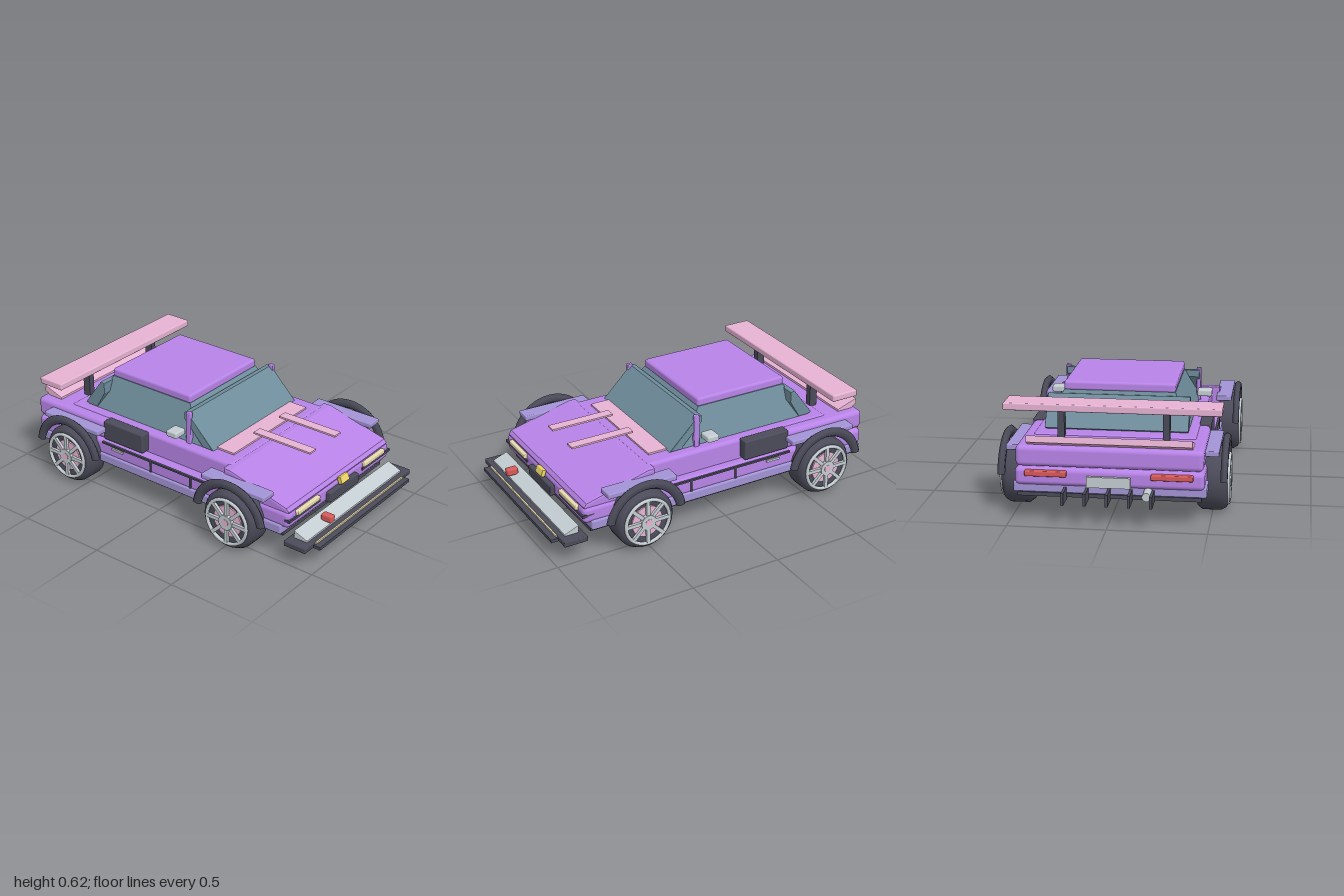
import * as THREE from 'three';
import { RoundedBoxGeometry } from 'three/addons/geometries/RoundedBoxGeometry.js';

const COLORS = {
  purple: 0xb884e8, lavender: 0xa394d6, pink: 0xe6b3d3, glass: 0x6f8d9c, dark: 0x4b4b5a,
  silver: 0xc4cdd2, cream: 0xe8dcae, red: 0xd95a5a, yellow: 0xf0d96a,
};
const materials = {};
for (const key in COLORS) materials[key] = new THREE.MeshStandardMaterial({ color: COLORS[key] });

export function createModel() {
  const car = new THREE.Group();
  car.name = 'car';

  function add(name, geometry, color, parent = car) {
    const mesh = new THREE.Mesh(geometry, materials[color]);
    mesh.name = name;
    parent.add(mesh);
    return mesh;
  }
  // box given by its ranges; r rounds the edges
  function box(name, color, [x0, x1], [y0, y1], [z0, z1], r = 0) {
    const size = [x1 - x0, y1 - y0, z1 - z0];
    const g = r ? new RoundedBoxGeometry(...size, 3, r) : new THREE.BoxGeometry(...size);
    g.translate((x0 + x1) / 2, (y0 + y1) / 2, (z0 + z1) / 2);
    return add(name, g, color);
  }
  // the same box on both sides
  function pair(name, color, [x0, x1], y, z, r) {
    box(name + 'Left', color, [x0, x1], y, z, r);
    box(name + 'Right', color, [-x1, -x0], y, z, r);
  }
  // side profile of [z, y] points, extruded across the car
  function prism(name, color, profile, width, bevel = 0.004) {
    const shape = new THREE.Shape(profile.map(([z, y]) => new THREE.Vector2(z, y)));
    const depth = width - 2 * bevel;
    const g = new THREE.ExtrudeGeometry(shape, {
      depth, bevelSize: bevel, bevelThickness: bevel, bevelOffset: -bevel, bevelSegments: 2,
    });
    g.translate(0, 0, -depth / 2).rotateY(-Math.PI / 2);
    return add(name, g, color);
  }

  // body
  box('underfloor', 'dark', [-0.46, 0.46], [0.13, 0.15], [-0.9, 0.79]);
  box('sill', 'lavender', [-0.485, 0.485], [0.145, 0.2], [-0.89, 0.79], 0.01);
  box('lowerBody', 'purple', [-0.475, 0.475], [0.185, 0.278], [-0.905, 0.83], 0.025);
  box('upperBody', 'purple', [-0.42, 0.42], [0.26, 0.396], [-0.7, 0.43], 0.02);
  box('rearDeck', 'purple', [-0.47, 0.47], [0.283, 0.39], [-0.908, -0.4], 0.025);
  prism('hood', 'purple', [[0.41, 0.26], [0.41, 0.392], [0.45, 0.392], [0.81, 0.3], [0.825, 0.28], [0.82, 0.265]], 0.93, 0.012);
  box('cowlPanel', 'pink', [-0.33, 0.33], [0.39, 0.406], [0.26, 0.375]);

  // cabin: glass block narrowing to the roof
  const cabin = new THREE.BoxGeometry(0.735, 0.18, 0.79);
  const p = cabin.attributes.position;
  for (let i = 0; i < p.count; i++) {
    const top = p.getY(i) > 0;
    p.setX(i, p.getX(i) * (top ? 0.79 : 1));
    p.setZ(i, top ? (p.getZ(i) > 0 ? 0.05 : -0.49) : (p.getZ(i) > 0 ? 0.2 : -0.57));
    p.setY(i, p.getY(i) + 0.49);
  }
  cabin.computeVertexNormals();
  add('cabinGlass', cabin, 'glass');
  prism('windshield', 'glass', [[0.27, 0.4], [0.1, 0.567], [0.075, 0.567], [0.075, 0.53], [0.2, 0.4]], 0.74);
  prism('rearWindow', 'glass', [[-0.63, 0.41], [-0.61, 0.4], [-0.55, 0.4], [-0.49, 0.5], [-0.49, 0.56], [-0.515, 0.565]], 0.74);
  box('roof', 'purple', [-0.29, 0.29], [0.575, 0.625], [-0.493, 0.053], 0.014);
  pair('windshieldPillar', 'purple', [0.353, 0.378], [0.39, 0.577], [0.092, 0.122], 0.005);
  pair('mirror', 'silver', [0.365, 0.445], [0.435, 0.472], [0.01, 0.08], 0.01);

  // flanks
  pair('sideIntake', 'dark', [0.41, 0.472], [0.287, 0.398], [-0.412, -0.135], 0.008);
  pair('sideTrim', 'dark', [0.47, 0.482], [0.262, 0.272], [-0.42, 0.35]);
  for (const z of [0.2, -0.075]) pair('doorSeam', 'dark', [0.47, 0.48], [0.2, 0.265], [z - 0.006, z + 0.006]);
  pair('doorHandle', 'silver', [0.47, 0.484], [0.242, 0.254], [-0.35, -0.27]);

  // wheels with tyre profile, spoked rim, arch and fender block
  const tyre = new THREE.LatheGeometry([
    [0.02, -0.085], [0.125, -0.085], [0.145, -0.08], [0.165, -0.055], [0.165, 0.04],
    [0.15, 0.065], [0.132, 0.075], [0.128, 0.06], [0.001, 0.06],
  ].map(([r, x]) => new THREE.Vector2(r, x)), 32).rotateZ(-Math.PI / 2);
  const disc = (r, depth) => new THREE.CylinderGeometry(r, r, depth, 32).rotateZ(-Math.PI / 2);
  const arc = 2.75;
  const arch = new THREE.TorusGeometry(0.208, 0.027, 6, 20, arc)
    .rotateZ((Math.PI - arc) / 2).rotateY(Math.PI / 2).scale(0.75, 1, 1);

  for (const [end, z] of [['front', 0.52], ['rear', -0.597]]) {
    for (const [side, s] of [['Left', 1], ['Right', -1]]) {
      const wheel = new THREE.Group();
      wheel.name = end + 'Wheel' + side;
      wheel.position.set(s * 0.505, 0.166, z);
      wheel.rotation.y = s > 0 ? 0 : Math.PI;
      car.add(wheel);
      add('tyre', tyre, 'dark', wheel);
      add('brakeDisc', disc(0.088, 0.01), 'pink', wheel).position.x = 0.063;
      add('rimRing', new THREE.TorusGeometry(0.126, 0.01, 8, 32).rotateY(Math.PI / 2), 'silver', wheel).position.x = 0.075;
      add('hub', disc(0.042, 0.03), 'silver', wheel).position.x = 0.073;
      add('hubCap', disc(0.02, 0.01), 'pink', wheel).position.x = 0.085;
      for (let i = 0; i < 8; i++) {
        const spoke = new THREE.BoxGeometry(0.016, 0.1, 0.02).translate(0.075, 0.075, 0).rotateX(i * Math.PI / 4);
        add('spoke', spoke, 'silver', wheel);
      }
      add(end + 'Arch' + side, arch, 'dark').position.set(s * 0.564, 0.165, z);
    }
    pair(end + 'Fender', 'lavender', [0.45, 0.538], [0.333, 0.362], [z - 0.2, z + 0.2], 0.006);
  }

  // nose
  pair('headlight', 'cream', [0.21, 0.41], [0.242, 0.268], [0.8, 0.845], 0.005);
  pair('lightLip', 'dark', [0.2, 0.475], [0.226, 0.24], [0.77, 0.838]);
  box('frontPlate', 'dark', [-0.135, 0.135], [0.19, 0.248], [0.81, 0.857], 0.005);
  box('plateStrip', 'cream', [-0.105, 0.105], [0.176, 0.19], [0.81, 0.84]);
  const badge = box('noseBlock', 'yellow', [-0.037, 0.037], [-0.02, 0.02], [-0.012, 0.012], 0.004);
  badge.position.set(0, 0.274, 0.845);
  badge.rotation.x = -0.35;
  box('bumperTray', 'dark', [-0.505, 0.505], [0.107, 0.137], [0.825, 0.957], 0.005);
  box('splitter', 'dark', [-0.43, 0.43], [0.107, 0.125], [0.94, 0.997]);
  box('splitterStrip', 'cream', [-0.415, 0.415], [0.121, 0.134], [0.945, 0.965]);
  prism('bumperBlade', 'silver', [[0.93, 0.135], [0.93, 0.147], [0.85, 0.178], [0.85, 0.135]], 0.9);
  box('towHook', 'red', [-0.257, -0.217], [0.157, 0.196], [0.88, 0.944], 0.008);
  for (const x of [-0.115, 0.115]) box('hoodStrip', 'pink', [x - 0.028, x + 0.028], [0.438, 0.448], [0.363, 0.725]);

  // tail
  box('spoiler', 'pink', [-0.55, 0.55], [0.54, 0.578], [-0.8, -0.642], 0.007);
  pair('spoilerPost', 'dark', [0.25, 0.285], [0.385, 0.545], [-0.726, -0.68]);
  prism('ducktail', 'pink', [[-0.78, 0.388], [-0.78, 0.402], [-0.9, 0.442], [-0.908, 0.41], [-0.87, 0.388]], 0.83);
  pair('tailLight', 'red', [0.21, 0.42], [0.24, 0.268], [-0.93, -0.89], 0.006);
  box('rearPlate', 'silver', [-0.11, 0.11], [0.19, 0.245], [-0.922, -0.89]);
  for (let i = -2; i <= 2; i++) box('diffuserFin', 'dark', [i * 0.11 - 0.007, i * 0.11 + 0.007], [0.118, 0.18], [-1, -0.84]);
  const pipe = new THREE.CylinderGeometry(0.022, 0.022, 0.12, 16).rotateX(Math.PI / 2);
  add('exhaust', pipe, 'silver').position.set(-0.195, 0.17, -0.92);

  return car;
}
